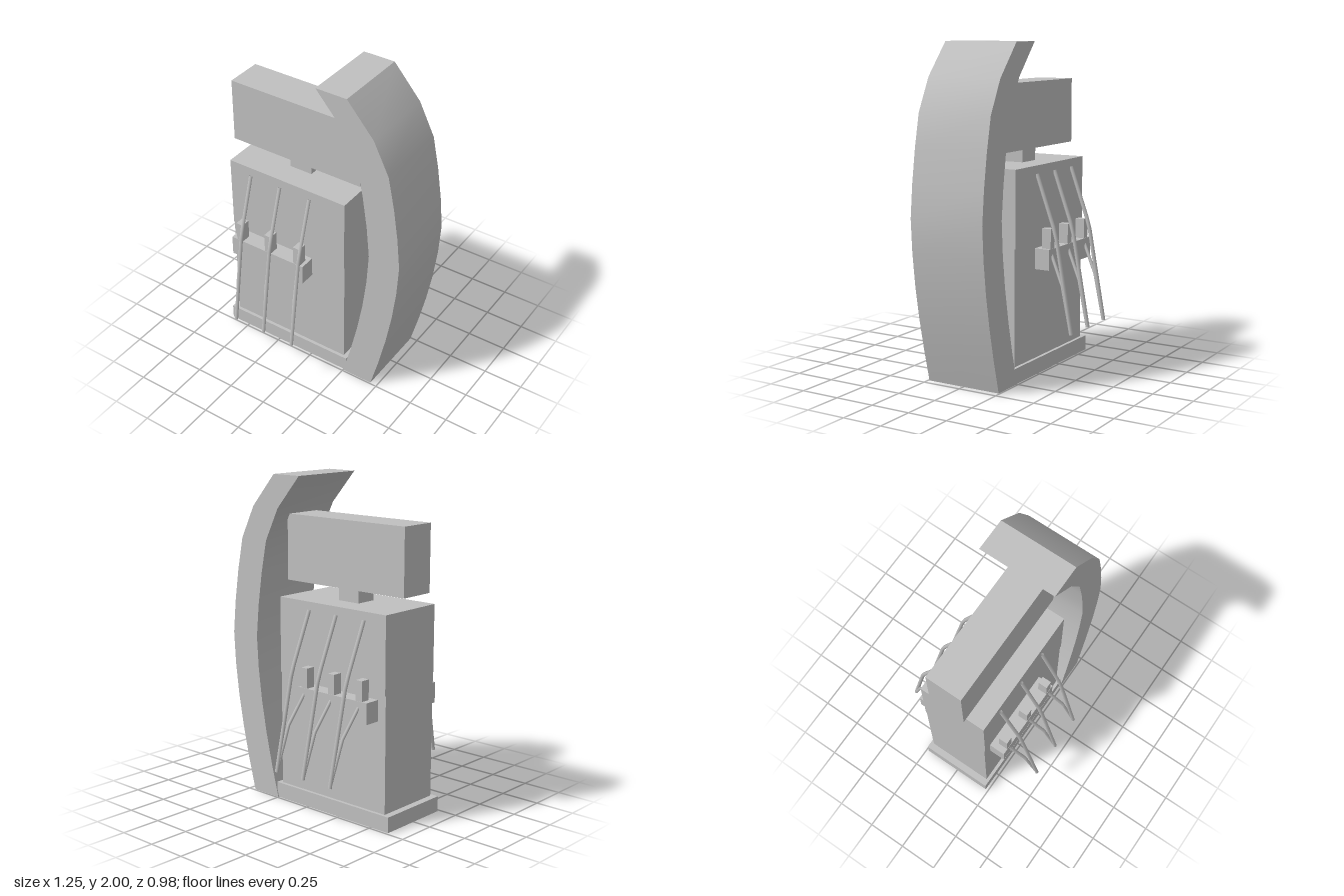
import * as THREE from 'three';
import { toCreasedNormals } from 'three/addons/utils/BufferGeometryUtils.js';

const grey = new THREE.MeshStandardMaterial({ color: 0xc0c0c0 });
grey.name = 'lightGrey';
grey.side = THREE.DoubleSide;

function add(parent, name, geometry) {
  const mesh = new THREE.Mesh(geometry, grey);
  mesh.name = name;
  parent.add(mesh);
}

// Box given by its limits on each axis
function box(parent, name, [x0, x1], [y0, y1], [z0, z1]) {
  const g = new THREE.BoxGeometry(x1 - x0, y1 - y0, Math.abs(z1 - z0));
  g.translate((x0 + x1) / 2, (y0 + y1) / 2, (z0 + z1) / 2);
  add(parent, name, g);
}

// Thin faceted tube through points joined by straight runs
function hose(parent, name, points, radius) {
  const path = new THREE.CurvePath();
  for (let i = 1; i < points.length; i++) {
    path.add(new THREE.LineCurve3(new THREE.Vector3(...points[i - 1]), new THREE.Vector3(...points[i])));
  }
  add(parent, name, new THREE.TubeGeometry(path, 12, radius, 6, false));
  // End cap
  const end = path.getPoint(1);
  const cap = new THREE.CircleGeometry(radius, 6);
  cap.lookAt(path.getTangent(1));
  cap.translate(end.x, end.y, end.z);
  add(parent, name + 'End', cap);
}

// Curved fin: outer edge x at each height, a constant width inwards, open underneath
function finGeometry() {
  const edge = [[0.455, 0], [0.507, 0.2], [0.552, 0.4], [0.588, 0.6], [0.613, 0.8], [0.625, 1],
    [0.606, 1.2], [0.576, 1.4], [0.535, 1.6], [0.435, 1.8], [0.26, 2]];
  const width = 0.204, d = 0.242;
  const ring = ([x, y]) => [[x, y, d], [x, y, -d], [x - width, y, -d], [x - width, y, d]];
  const pos = [];
  const quad = (a, b, c, e) => pos.push(...a, ...b, ...c, ...a, ...c, ...e);
  for (let i = 0; i < edge.length - 1; i++) {
    const lo = ring(edge[i]), hi = ring(edge[i + 1]);
    for (let k = 0; k < 4; k++) {
      const n = (k + 1) % 4;
      quad(lo[k], lo[n], hi[n], hi[k]);
    }
  }
  quad(...ring(edge[edge.length - 1]));
  const g = new THREE.BufferGeometry();
  g.setAttribute('position', new THREE.Float32BufferAttribute(pos, 3));
  return toCreasedNormals(g, 0.6);
}

export function createModel() {
  const model = new THREE.Group();
  model.name = 'fuelDispenser';

  // Cabinet
  box(model, 'base', [-0.63, 0.265], [0, 0.095], [-0.236, 0.232]);
  box(model, 'lowerCabinet', [-0.588, 0.235], [0.095, 0.805], [-0.216, 0.212]);
  box(model, 'upperCabinet', [-0.588, 0.235], [0.805, 1.27], [-0.222, 0.218]);
  box(model, 'neck', [-0.253, -0.1], [1.27, 1.355], [-0.07, 0.066]);
  box(model, 'displayHead', [-0.63, 0.27], [1.355, 1.757], [-0.118, 0.114]);
  add(model, 'curvedFin', finGeometry());

  // Holster shelf and three hoses on both faces
  for (const s of [1, -1]) {
    const side = new THREE.Group();
    side.name = s > 0 ? 'frontHoses' : 'backHoses';
    model.add(side);
    const zRange = (a, b) => (s > 0 ? [a, b] : [-b, -a]);
    box(side, 'holsterShelf', [-0.53, 0.0], [0.645, 0.772], zRange(0.2, 0.314));
    for (let i = 0; i < 3; i++) {
      const x = i * 0.212;
      box(side, 'nozzleHolder', [x - 0.492, x - 0.446], [0.772, 0.893], zRange(0.252, 0.312));
      hose(side, 'hose', [[x - 0.43, 1.22, s * 0.226], [x - 0.416, 0.87, s * 0.362], [x - 0.4, 0.28, s * 0.479]], 0.012);
      hose(side, 'nozzleHose', [[x - 0.465, 0.735, s * 0.308], [x - 0.428, 0.56, s * 0.402], [x - 0.4, 0.29, s * 0.475]], 0.01);
    }
  }
  return model;
}
